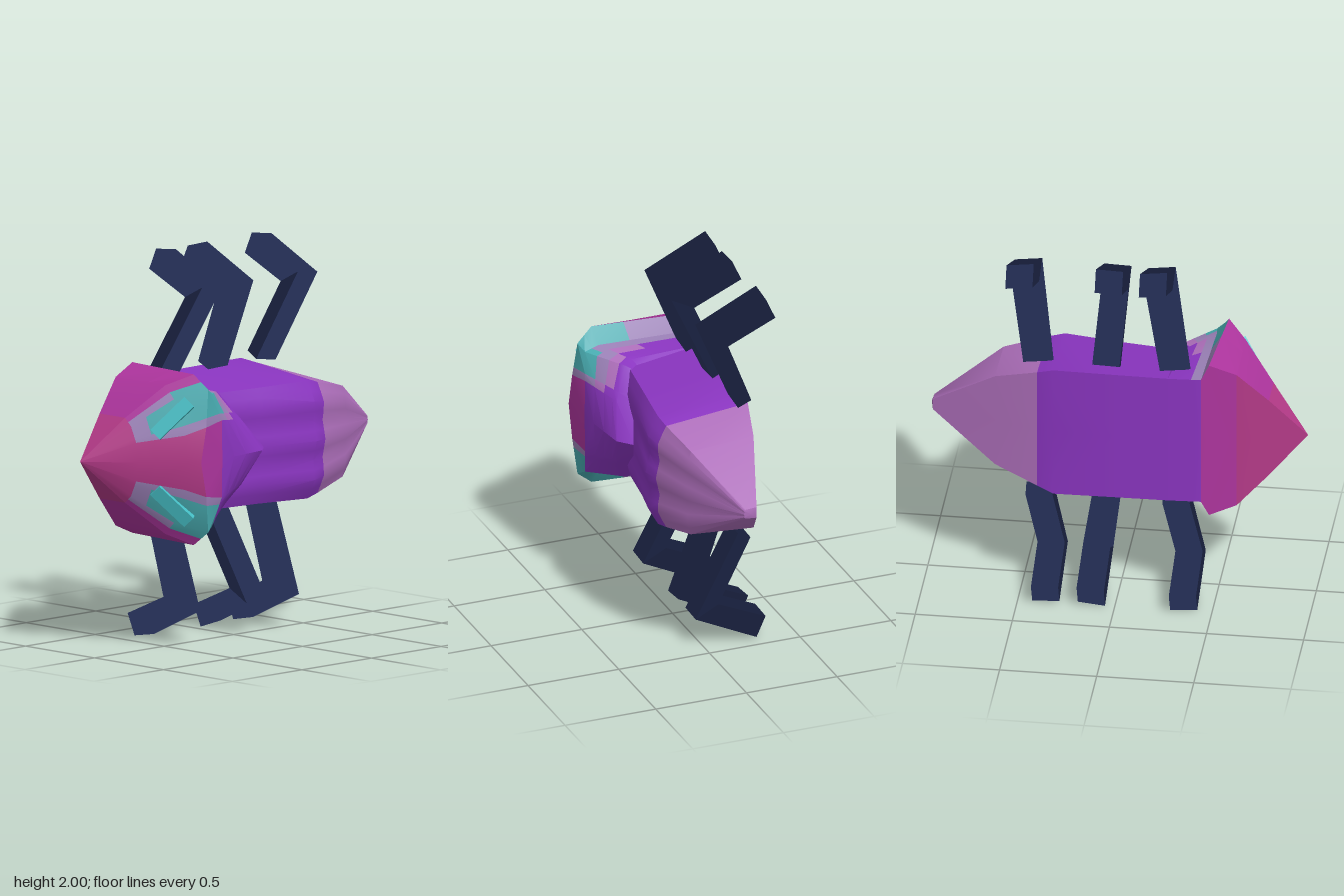
import * as THREE from 'three';
import { toCreasedNormals } from 'three/addons/utils/BufferGeometryUtils.js';

const mat = (name, color) => {
  const m = new THREE.MeshStandardMaterial({ color });
  m.name = name;
  return m;
};
const MATS = [
  mat('purple', 0x8a35c0), mat('mauve', 0xae6fbb), mat('magenta', 0xae359e), mat('rose', 0xb43a88),
  mat('lilac', 0x9a80b6), mat('teal', 0x48abb0), mat('cyan', 0x46bfc6), mat('navy', 0x27325c),
];
const [PURPLE, MAUVE, MAGENTA, ROSE, LILAC, TEAL, CYAN, NAVY] = MATS.keys();

// Skins half sections of [x, halfWidth, z] points (back centre to front centre), mirrored about y = 1.
function loft(name, sections, colourOf, crease) {
  const last = sections[0].length - 1;
  const rings = sections.map((half) => [
    ...half.map(([x, d, z]) => [x, 1 + d, z]),
    ...half.slice(1, last).reverse().map(([x, d, z]) => [x, 1 - d, z]),
  ]);
  const buckets = MATS.map(() => []);
  const n = rings[0].length;
  for (let i = 0; i + 1 < rings.length; i++) {
    for (let j = 0; j < n; j++) {
      const k = (j + 1) % n;
      const a = rings[i][j], b = rings[i][k], c = rings[i + 1][k], d = rings[i + 1][j];
      const upper = j < last;
      const strip = upper ? j : n - 1 - j;
      // mirrored halves use mirrored diagonals
      const tris = upper ? [a, b, c, a, c, d] : [a, b, d, b, c, d];
      buckets[colourOf(i, strip, upper)].push(...tris.flat());
    }
  }
  const geo = new THREE.BufferGeometry();
  geo.setAttribute('position', new THREE.Float32BufferAttribute(buckets.flat(), 3));
  let start = 0;
  buckets.forEach((b, m) => {
    if (b.length) geo.addGroup(start, b.length / 3, m);
    start += b.length / 3;
  });
  const mesh = new THREE.Mesh(toCreasedNormals(geo, crease), MATS);
  mesh.name = name;
  return mesh;
}

const mix = (p, q, t) => p.map((v, i) => v + (q[i] - v) * t);
const mixSection = (A, B, t) => A.map((p, i) => mix(p, B[i], t));

// Abdomen: trapezoid section with a gently ridged front shell
function abdomen() {
  const section = ([x, back, w, fw, fe, fz]) => {
    const pts = [[x, 0, back], [x, w, back]];
    for (let k = 6; k >= 0; k--) {
      const t = k / 6;
      const g = (1 - t ** 4) * (0.82 + 0.18 * Math.cos(3 * Math.PI * t));
      pts.push([x, fw * t, fe + (fz - fe) * g]);
    }
    return pts;
  };
  // x, back z, back half width, front half width, shell edge z, shell crest z
  const sections = [
    [-0.27, -0.27, 0.36, 0.3, 0.13, 0.17],
    [0, -0.27, 0.362, 0.3, 0.165, 0.215],
    [0.32, -0.27, 0.365, 0.305, 0.21, 0.28],
    [0.405, -0.25, 0.335, 0.287, 0.2, 0.257],
    [0.63, -0.19, 0.26, 0.235, 0.155, 0.18],
    [0.965, -0.07, 0.03, 0.025, -0.01, 0],
    [0.975, -0.035, 0, 0, -0.035, -0.035],
  ].map(section);
  return loft('abdomen', sections, (i) => (i < 3 ? PURPLE : MAUVE), 0.6);
}

// Head and neck shield: flares out at the sides and ends in a point over the shell
function headShield() {
  const section = (backX, backZ, w, side, brow, inner, crest) => {
    const edge = [backX, w, backZ];
    return [[backX, 0, backZ], edge, mix(edge, side, 0.65), side, mix(side, brow, 0.5),
      brow, mix(brow, inner, 0.75), inner, crest];
  };
  const tip = Array(9).fill([-0.975, 0, -0.13]);
  const snout = section(-0.78, -0.185, 0.22,
    [-0.78, 0.22, 0], [-0.78, 0.18, 0.043], [-0.78, 0.1, 0.08], [-0.78, 0, 0.1]);
  const face = section(-0.62, -0.23, 0.385,
    [-0.62, 0.385, 0.13], [-0.62, 0.32, 0.193], [-0.62, 0.14, 0.268], [-0.62, 0, 0.285]);
  const flare = section(-0.48, -0.25, 0.442,
    [-0.52, 0.442, 0.235], [-0.5, 0.37, 0.32], [-0.53, 0.18, 0.337], [-0.57, 0, 0.34]);
  const neck = section(-0.44, -0.262, 0.36,
    [-0.46, 0.36, 0.22], [-0.45, 0.34, 0.3], [-0.4, 0.2, 0.318], [-0.4, 0, 0.322]);
  const rim = section(-0.27, -0.27, 0.36,
    [-0.31, 0.325, 0.1], [-0.27, 0.315, 0.15], [-0.18, 0.17, 0.235], [-0.07, 0, 0.28]);
  const lip = section(-0.27, -0.27, 0.36,
    [-0.265, 0.3, 0.08], [-0.235, 0.295, 0.11], [-0.12, 0.17, 0.155], [0.005, 0, 0.213]);
  const sections = [tip, snout, mixSection(snout, face, 0.35), face, flare, neck,
    mixSection(neck, rim, 0.3), mixSection(neck, rim, 0.6), mixSection(neck, rim, 0.85), rim, lip];
  // one row per segment; strips: back, flank x2, bevel x2, eye patch, patch fringe, centre
  const colours = [
    [ROSE, ROSE, ROSE, ROSE, ROSE, ROSE, ROSE, ROSE],
    [ROSE, MAGENTA, MAGENTA, MAGENTA, LILAC, LILAC, LILAC, ROSE],
    [ROSE, MAGENTA, MAGENTA, MAGENTA, LILAC, TEAL, LILAC, ROSE],
    [MAGENTA, MAGENTA, MAGENTA, MAGENTA, TEAL, TEAL, LILAC, ROSE],
    [MAGENTA, LILAC, TEAL, TEAL, TEAL, TEAL, LILAC, MAGENTA],
    [PURPLE, LILAC, LILAC, LILAC, TEAL, TEAL, LILAC, PURPLE],
    [PURPLE, PURPLE, MAUVE, LILAC, LILAC, LILAC, MAUVE, PURPLE],
    [PURPLE, PURPLE, PURPLE, MAUVE, MAUVE, MAUVE, PURPLE, PURPLE],
  ];
  // the pale patch behind the flare is longer on the upper side
  const colourOf = (i, strip, upper) => (i < (upper ? 8 : 5) ? colours[i][strip] : PURPLE);
  return loft('headShield', sections, colourOf, 0.35);
}

// Raised slanted eye plate on each side of the face
function eye(side) {
  const normal = new THREE.Vector3(-0.031, 0.0096 * side, 0.022).normalize();
  const along = new THREE.Vector3(0.15, 0.19 * side, 0.128).normalize();
  const across = new THREE.Vector3().crossVectors(normal, along);
  const geo = new THREE.BoxGeometry(0.24, 0.07, 0.035);
  geo.applyMatrix4(new THREE.Matrix4().makeBasis(along, across, normal)
    .setPosition(-0.645, 1 + 0.225 * side, 0.207));
  const mesh = new THREE.Mesh(geo, MATS[CYAN]);
  mesh.name = side > 0 ? 'upperEye' : 'lowerEye';
  return mesh;
}

// Bent leg: elbow outline as [z, distance from the middle], sheared along x from hip to knee
function leg(side, hipX, kneeX, tilt) {
  const outline = [[-0.17, 0.36], [0.045, 0.83], [-0.29, 0.99], [-0.34, 0.88], [-0.08, 0.765], [-0.24, 0.395]];
  const shape = new THREE.Shape(outline.map(([z, d]) => new THREE.Vector2(z, 1 + side * d)));
  const geo = new THREE.ExtrudeGeometry(shape, { depth: 0.14, bevelEnabled: false });
  geo.translate(0, 0, -0.07).rotateY(-Math.PI / 2);
  const p = geo.attributes.position;
  for (let i = 0; i < p.count; i++) {
    const x = p.getX(i), y = p.getY(i);
    const t = THREE.MathUtils.clamp((Math.abs(y - 1) - 0.36) / 0.4, 0, 1);
    p.setXY(i, x + hipX + (kneeX - hipX) * t, y + tilt * x);
    // even shading: every face takes the front direction
    geo.attributes.normal.setXYZ(i, 0, 0, 1);
  }
  return new THREE.Mesh(geo, MATS[NAVY]);
}

export function createModel() {
  const model = new THREE.Group();
  model.name = 'beetle';
  model.add(abdomen(), headShield(), eye(1), eye(-1));
  // side, hip x, knee x, tilt
  const legs = [
    [1, -0.305, -0.2, -0.13], [1, 0.055, 0.027, 0.03], [1, 0.4, 0.487, -0.13],
    [-1, -0.305, -0.355, -0.07], [-1, 0.05, 0.12, 0.1], [-1, 0.4, 0.355, -0.04],
  ];
  legs.forEach(([side, hip, knee, tilt], i) => {
    const mesh = leg(side, hip, knee, tilt);
    mesh.name = `${['front', 'middle', 'rear'][i % 3]}${side > 0 ? 'Upper' : 'Lower'}Leg`;
    model.add(mesh);
  });
  return model;
}
